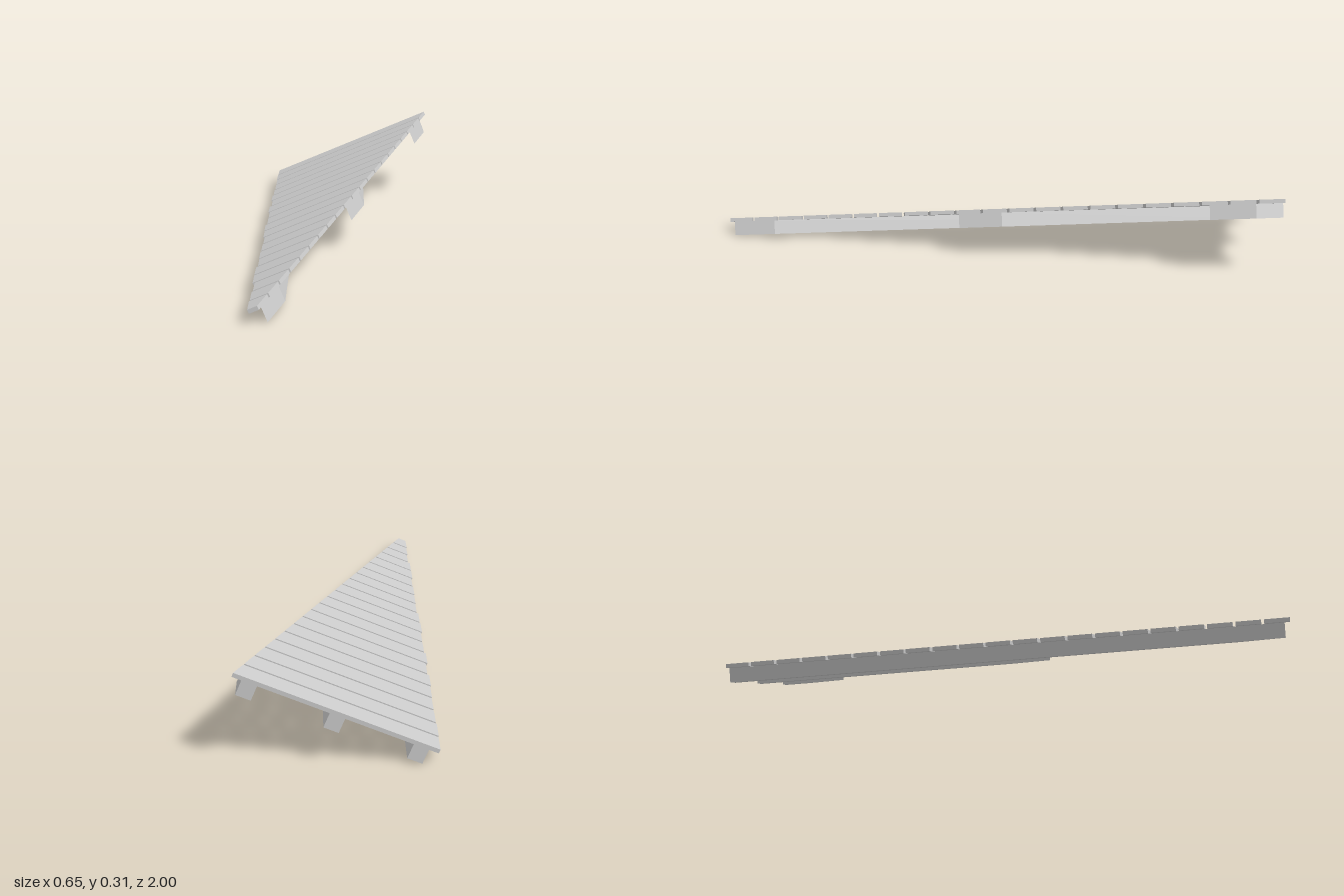
import * as THREE from 'three';

const material = new THREE.MeshStandardMaterial({ color: 0xcccccc, flatShading: true });
const PLANKS = 21, PITCH = 0.0957, PLANK_WIDTH = 0.086;
const THICKNESS = 0.014, BEAM_BOTTOM = -0.066;

// Slanted edge of the triangular deck: across-slope position at z, and its inverse
const edgeAt = z => 0.343 - 0.329 * (z + 1);
const zAtEdge = u => (0.343 - u) / 0.329 - 1;

// Prism from an outline of [across, z] points, between two heights
function prism(name, points, bottom, top) {
  const shape = new THREE.Shape(points.map(([u, z]) => new THREE.Vector2(u, -z)));
  const geometry = new THREE.ExtrudeGeometry(shape, { depth: top - bottom, bevelEnabled: false });
  geometry.rotateX(-Math.PI / 2).translate(0, bottom, 0);
  const mesh = new THREE.Mesh(geometry, material);
  mesh.name = name;
  return mesh;
}

export function createModel() {
  const model = new THREE.Group();
  model.name = 'slopedPlankRoof';
  const slope = new THREE.Group();
  slope.name = 'slope';
  slope.position.y = 0.18;
  slope.rotation.z = Math.PI / 8;
  model.add(slope);

  // Planks with slightly uneven left ends, cut along the slanted edge
  const uneven = [0, 1, 0, 0, 1, 3, 0, 4, 1, 1, 4, 3, 0, 1, 2, 1, 4, 4, 0, 2, 3];
  for (let i = 0; i < PLANKS; i++) {
    const z0 = -1 + i * PITCH, z1 = z0 + PLANK_WIDTH;
    const left = -0.342 - uneven[i] * 0.002;
    slope.add(prism('plank', [[left, z0], [left, z1], [edgeAt(z1), z1], [edgeAt(z0), z0]], -THICKNESS, 0));
  }

  // Beams underneath, with front ends cut to the same slanted line
  for (const u0 of [-0.309, -0.029, 0.26]) {
    const u1 = u0 + 0.051;
    slope.add(prism('beam', [[u0, -1], [u0, zAtEdge(u0)], [u1, zAtEdge(u1)], [u1, -1]], BEAM_BOTTOM, -THICKNESS));
  }
  return model;
}
